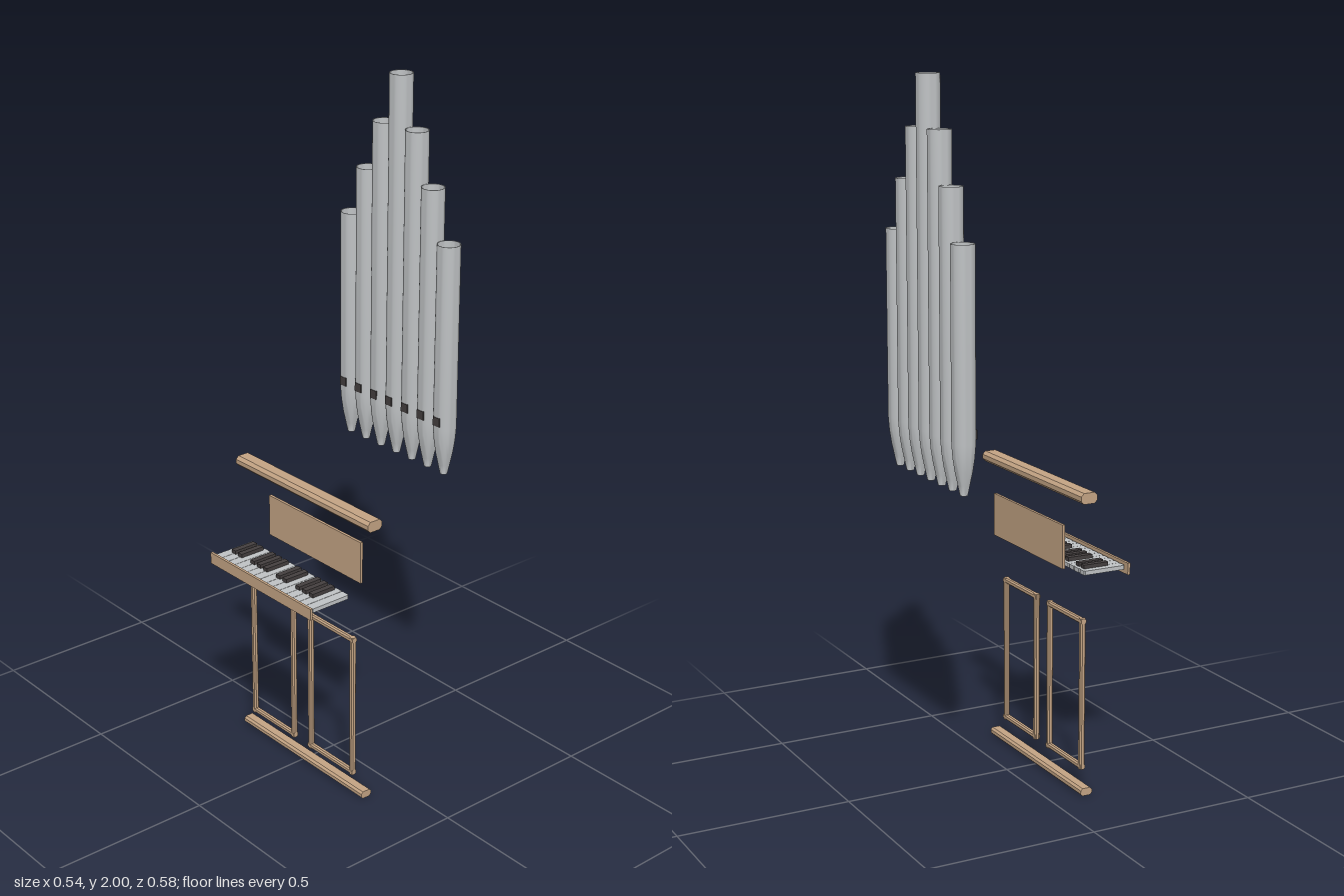
import * as THREE from 'three';
import { toCreasedNormals } from 'three/addons/utils/BufferGeometryUtils.js';

const wood = new THREE.MeshStandardMaterial({ name: 'wood', color: 0xc4a484 });
const silver = new THREE.MeshStandardMaterial({ name: 'silver', color: 0xc0c3c5 });
const ebony = new THREE.MeshStandardMaterial({ name: 'ebony', color: 0x443f3f });

function add(parent, name, geometry, material, x, y, z) {
  const mesh = new THREE.Mesh(geometry, material);
  mesh.name = name;
  mesh.position.set(x, y, z);
  parent.add(mesh);
  return mesh;
}

// Bar along z with an eight-sided section: w by h, corners cut by c
function beam(w, h, length, c) {
  const a = w / 2, b = h / 2;
  const section = new THREE.Shape([
    [a, -b + c], [a, b - c], [a - c, b], [-a + c, b],
    [-a, b - c], [-a, -b + c], [-a + c, -b], [a - c, -b],
  ].map(([x, y]) => new THREE.Vector2(x, y)));
  return new THREE.ExtrudeGeometry(section, { depth: length, bevelEnabled: false })
    .translate(0, 0, -length / 2);
}

// Hollow pipe with a tapering foot, base at y = 0
function pipeGeometry(height) {
  const wall = 0.002;
  const outer = [[0.0105, 0], [0.017, 0.03], [0.0245, 0.066], [0.03, 0.103], [0.033, 0.142], [0.033, height]];
  const inner = outer.map(([r, y]) => [r - wall, y]).reverse();
  const profile = [...outer, ...inner, outer[0]].map(([r, y]) => new THREE.Vector2(r, y));
  return toCreasedNormals(new THREE.LatheGeometry(profile, 32), 0.6);
}

export function createModel() {
  const model = new THREE.Group();
  model.name = 'pipeOrgan';

  // Pipes, tallest in the middle, with a dark mouth on the keyboard side
  const pipes = new THREE.Group();
  pipes.name = 'pipes';
  model.add(pipes);
  for (let i = -3; i <= 3; i++) {
    const top = 2 - 0.1435 * Math.abs(i), z = i * 0.0667;
    add(pipes, 'pipe', pipeGeometry(top - 0.895), silver, 0.236, 0.895, z);
    add(pipes, 'pipeMouth', new THREE.BoxGeometry(0.008, 0.026, 0.026), ebony, 0.206, 1.06, z);
  }

  // Top and bottom rails
  add(model, 'topRail', beam(0.051, 0.031, 0.582, 0.009), wood, -0.099, 0.867, 0);
  add(model, 'bottomRail', beam(0.036, 0.022, 0.546, 0.006), wood, -0.108, 0.011, 0);

  // Music board
  add(model, 'musicBoard', new THREE.BoxGeometry(0.008, 0.126, 0.406), wood, -0.07, 0.712, 0);

  // Two open frames
  for (const side of [-1, 1]) {
    const frame = new THREE.Group();
    frame.name = 'frame';
    frame.position.set(-0.119, 0.283, side * 0.132);
    model.add(frame);
    for (const s of [-1, 1]) {
      const post = add(frame, 'framePost', beam(0.016, 0.016, 0.445, 0.004), wood, 0, 0, s * 0.0925);
      post.rotation.x = Math.PI / 2;
      add(frame, 'frameRail', beam(0.016, 0.016, 0.2, 0.004), wood, 0, s * 0.2145, 0);
    }
  }

  // Keyboard
  const keyboard = new THREE.Group();
  keyboard.name = 'keyboard';
  model.add(keyboard);
  add(keyboard, 'keySlip', new THREE.BoxGeometry(0.008, 0.034, 0.451), wood, -0.268, 0.628, 0);
  const pitch = 0.02905, start = -7.5 * pitch;
  const whiteKey = beam(0.131, 0.028, 0.012, 0.003).rotateX(Math.PI / 2);
  for (let i = 0; i < 15; i++) {
    add(keyboard, 'whiteKey', whiteKey, silver, -0.1935, 0.632, start + (i + 0.5) * pitch);
  }
  const blackKey = new THREE.BoxGeometry(0.078, 0.012, 0.017);
  for (const i of [1, 2, 4, 5, 6, 8, 9, 11, 12, 13]) {
    add(keyboard, 'blackKey', blackKey, ebony, -0.1775, 0.643, start + i * pitch);
  }

  return model;
}
